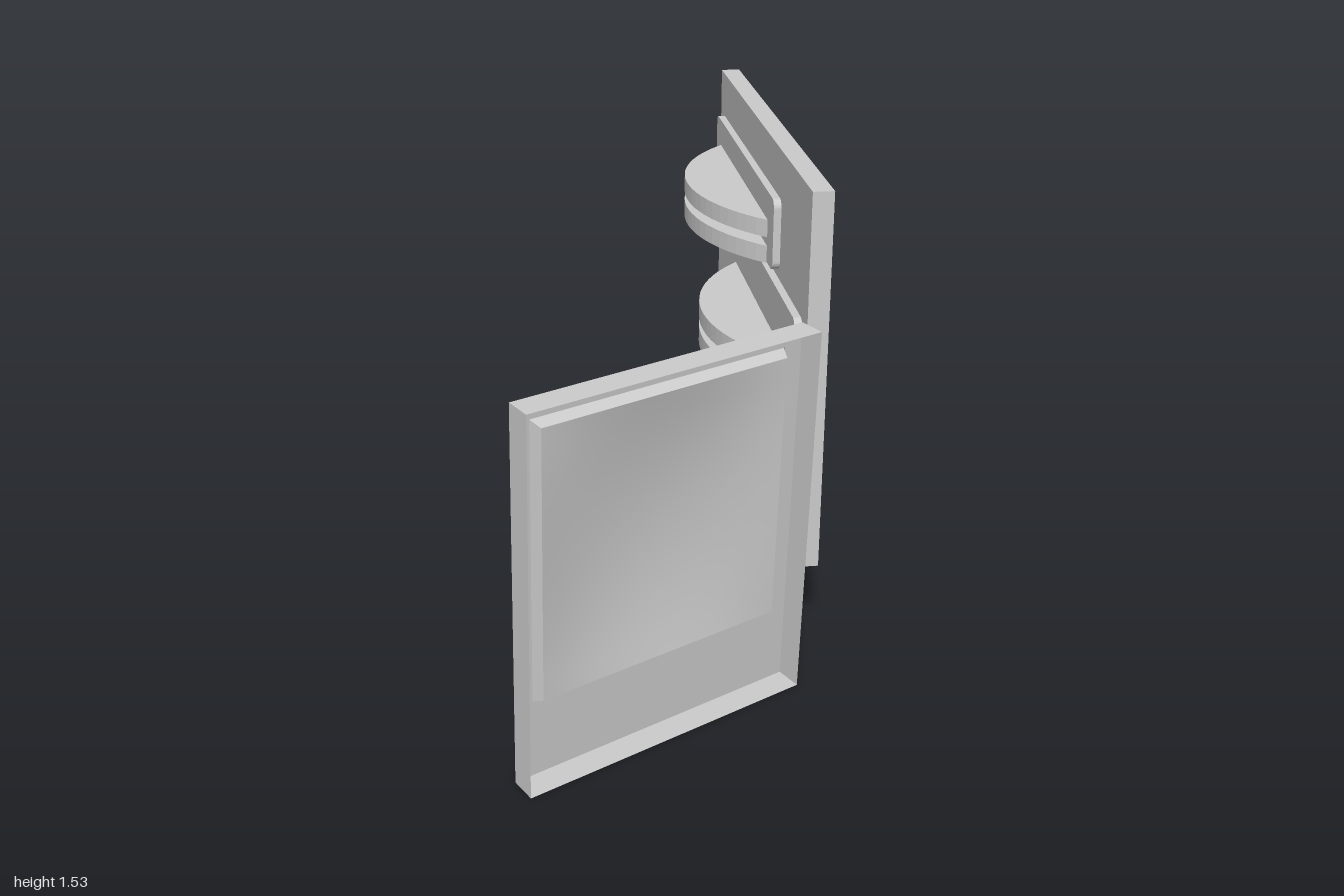
import * as THREE from 'three';

const material = new THREE.MeshStandardMaterial({ color: 0xcccccc, side: THREE.DoubleSide, flatShading: true });
const smooth = new THREE.MeshStandardMaterial({ color: 0xcccccc, side: THREE.DoubleSide });

function add(parent, geometry, name, mat = material) {
  const mesh = new THREE.Mesh(geometry, mat);
  mesh.name = name;
  parent.add(mesh);
  return mesh;
}

function rect(x0, y0, x1, y1, Type = THREE.Shape) {
  return new Type([[x0, y0], [x1, y0], [x1, y1], [x0, y1]].map(([x, y]) => new THREE.Vector2(x, y)));
}

// Shallow tray: back sheet at z = 0, four rims, open towards +z
function tray(name, w, h, d, hole) {
  const group = new THREE.Group();
  group.name = name;
  const shape = rect(0, 0, w, h);
  if (hole) shape.holes.push(rect(...hole, THREE.Path));
  // mirrored in x so that the sheet faces -z
  const back = new THREE.ShapeGeometry(shape).rotateY(Math.PI).translate(w, 0, 0);
  add(group, back, 'backSheet');
  for (const side of [-1, 1]) {
    const end = new THREE.PlaneGeometry(d, h).rotateY(side * Math.PI / 2);
    add(group, end.translate(side < 0 ? 0 : w, h / 2, d / 2), 'endRim');
    const long = new THREE.PlaneGeometry(w, d).rotateX(-side * Math.PI / 2);
    add(group, long.translate(w / 2, side < 0 ? 0 : h, d / 2), 'longRim');
  }
  return group;
}

function roundedPlate(x0, y0, x1, y1, r, depth) {
  const s = new THREE.Shape();
  s.absarc(x1 - r, y0 + r, r, -Math.PI / 2, 0);
  s.absarc(x1 - r, y1 - r, r, 0, Math.PI / 2);
  s.absarc(x0 + r, y1 - r, r, Math.PI / 2, Math.PI);
  s.absarc(x0 + r, y0 + r, r, Math.PI, Math.PI * 1.5);
  return new THREE.ExtrudeGeometry(s, { depth, bevelEnabled: false, curveSegments: 4 });
}

// Circular segment lying flat, bulging towards -z
function crescent(half, rise, thickness) {
  const radius = (half * half + rise * rise) / (2 * rise);
  const a = Math.asin(half / radius);
  const s = new THREE.Shape();
  s.absarc(0, rise - radius, radius, Math.PI / 2 - a, Math.PI / 2 + a);
  s.closePath();
  const g = new THREE.ExtrudeGeometry(s, { depth: thickness, bevelEnabled: false, curveSegments: 12 });
  return g.rotateX(-Math.PI / 2);
}

// Four sloping walls between two rectangles at z = 0 and z = depth
function slopedWalls(x0, y0, x1, y1, inset, depth) {
  const ring = (i, z) => [[x0 + i, y0 + i, z], [x1 - i, y0 + i, z], [x1 - i, y1 - i, z], [x0 + i, y1 - i, z]];
  const a = ring(0, 0), b = ring(inset, depth), pos = [];
  for (let i = 0; i < 4; i++) {
    const j = (i + 1) % 4;
    pos.push(...a[i], ...b[i], ...b[j], ...a[i], ...b[j], ...a[j]);
  }
  const g = new THREE.BufferGeometry();
  g.setAttribute('position', new THREE.Float32BufferAttribute(pos, 3));
  g.computeVertexNormals();
  return g;
}

export function createModel() {
  const model = new THREE.Group();

  // Small leaning panel with a recessed window on its back
  const win = [0.06, 0.26, 0.915, 1.145];
  const frame = tray('windowPanel', 0.98, 1.21, 0.085, win);
  const inset = 0.015, depth = 0.035;
  add(frame, slopedWalls(...win, inset, depth), 'windowWalls');

  // Sheet in the window, bowed out in the middle
  const w = win[2] - win[0] - 2 * inset, h = win[3] - win[1] - 2 * inset;
  const sheet = new THREE.PlaneGeometry(w, h, 12, 12).rotateY(Math.PI);
  const p = sheet.attributes.position;
  for (let i = 0; i < p.count; i++) {
    const u = 2 * p.getX(i) / w, v = 2 * p.getY(i) / h;
    p.setZ(i, depth - 0.046 * (1 - u * u) * (1 - v * v));
  }
  sheet.computeVertexNormals();
  sheet.translate((win[0] + win[2]) / 2, (win[1] + win[3]) / 2, 0);
  add(frame, sheet, 'windowSheet', smooth);
  frame.position.set(-1, 0.003, 0.73);
  frame.rotation.x = 0.037;
  model.add(frame);

  // Large turned panel with two handle plates on its back
  const board = tray('handlePanel', 1.66, 1.26, 0.067);
  const plates = [
    { name: 'upper', x0: 0.443, x1: 1.6, y0: 0.86, y1: 1.1, top: 1.005 },
    { name: 'lower', x0: 0.07, x1: 1.216, y0: 0.42, y1: 0.83, top: 0.66 },
  ];
  for (const { name, x0, x1, y0, y1, top } of plates) {
    add(board, roundedPlate(x0, y0, x1, y1, 0.03, 0.025), name + 'Plate').position.z = -0.025;
    // Each handle is a pair of curved slabs
    for (const drop of [0.06, 0.15]) {
      const slab = add(board, crescent(0.48, 0.202, 0.06), name + 'HandleSlab');
      slab.position.set((x0 + x1) / 2, top - drop, -0.025);
    }
  }
  board.position.set(0.15, 0.27, 0.603);
  board.rotation.y = 1.075;
  model.add(board);

  return model;
}
